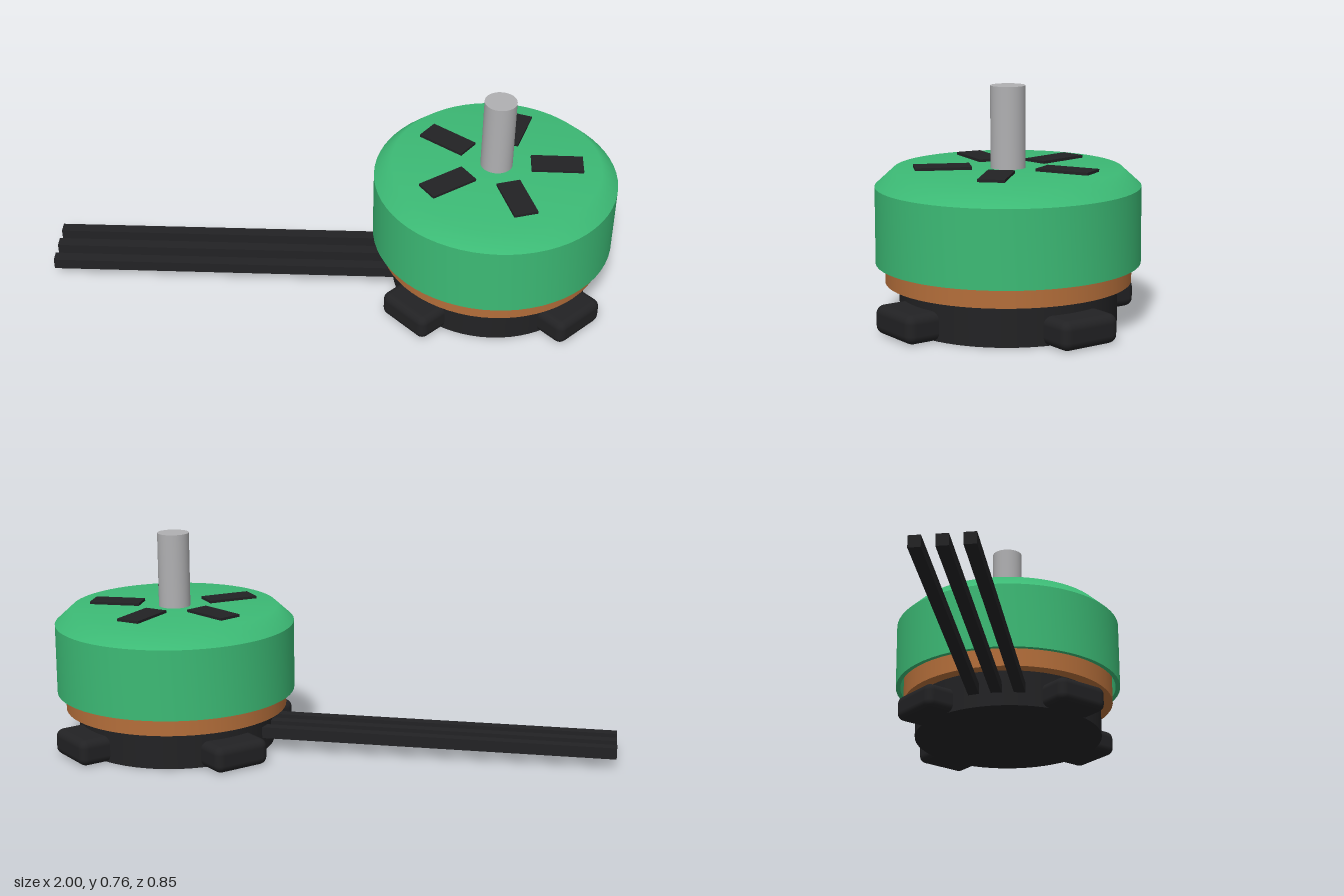
import * as THREE from 'three';
import { RoundedBoxGeometry } from 'three/addons/geometries/RoundedBoxGeometry.js';
import { toCreasedNormals } from 'three/addons/utils/BufferGeometryUtils.js';

const SEGMENTS = 64;

function material(name, color) {
  const m = new THREE.MeshStandardMaterial({ color });
  m.name = name;
  return m;
}

function add(parent, name, geometry, mat, x = 0, y = 0, z = 0) {
  const mesh = new THREE.Mesh(geometry, mat);
  mesh.name = name;
  mesh.position.set(x, y, z);
  parent.add(mesh);
  return mesh;
}

// Upright cylinder between two heights
function drum(parent, name, radius, y0, y1, mat, sides = SEGMENTS) {
  return add(parent, name, new THREE.CylinderGeometry(radius, radius, y1 - y0, sides), mat, 0, (y0 + y1) / 2);
}

// Surface of revolution from [radius, height] pairs, listed bottom to top on the outside
function lathe(pairs) {
  return new THREE.LatheGeometry(pairs.map(([r, y]) => new THREE.Vector2(r, y)), SEGMENTS);
}

export function createModel() {
  const green = material('green bell', 0x3cba75);
  const copper = material('copper', 0xb46e3a);
  const black = material('black', 0x222224);
  const steel = material('steel', 0xb0b0b2);

  const model = new THREE.Group();
  model.name = 'brushlessMotor';
  const motor = new THREE.Group();
  motor.name = 'motor';
  motor.position.x = 0.575;
  model.add(motor);

  // Fixed base and stator
  drum(motor, 'base', 0.35, 0, 0.15, black);
  drum(motor, 'statorWinding', 0.395, 0.133, 0.42, copper);

  // Four mounting feet on the diagonals
  for (let i = 0; i < 4; i++) {
    const foot = new THREE.Group();
    foot.name = 'mountingFoot';
    foot.rotation.y = Math.PI / 4 + i * Math.PI / 2;
    add(foot, 'footPad', new RoundedBoxGeometry(0.2, 0.093, 0.21, 3, 0.028), black, 0.343, 0.0465);
    motor.add(foot);
  }

  // Hollow rotating bell: skirt with inner wall, then a chamfered cap
  const skirt = lathe([[0.408, 0.43], [0.408, 0.195], [0.425, 0.195], [0.425, 0.442]]);
  add(motor, 'bellSkirt', toCreasedNormals(skirt, 0.6), green);
  add(motor, 'bellCap', lathe([[0.425, 0.442], [0.365, 0.497], [0, 0.497]]), green);

  // Five radial vents on the cap
  for (let i = 0; i < 5; i++) {
    const vent = new THREE.Group();
    vent.name = 'vent';
    vent.rotation.y = i * Math.PI * 2 / 5;
    add(vent, 'ventPlate', new THREE.BoxGeometry(0.18, 0.009, 0.085), black, 0.21, 0.5035);
    motor.add(vent);
  }

  // Output shaft
  drum(motor, 'shaft', 0.056, 0.45, 0.76, steel, 32);

  // Three leads sloping down slightly away from the base
  const slope = Math.atan2(0.015, 1.3);
  for (const z of [-0.083, 0, 0.083]) {
    const wire = add(model, 'wire', new THREE.BoxGeometry(1.3, 0.04, 0.04), black, -0.35, 0.0625, z);
    wire.rotation.z = slope;
  }

  return model;
}
